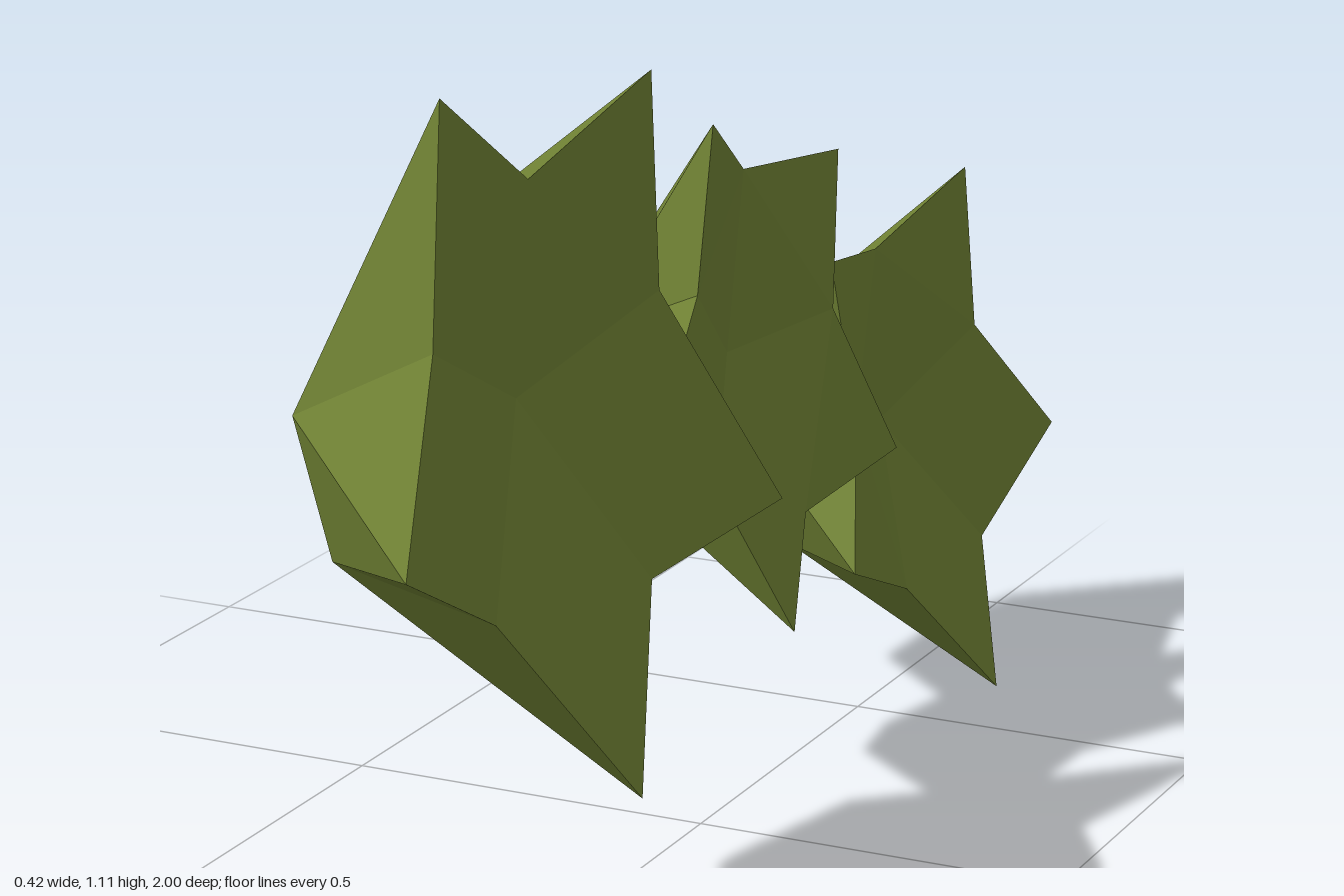
import * as THREE from 'three';

// Each star: five tips, five notches between them and a smaller rear pentagon, all [x, y, z],
// listed clockwise as seen from +x; centre is the bottom of the shallow dish.
const STARS = [
  {
    name: 'frontStar',
    centre: [0.01, 0.71, 0.52],
    tips: [[0.02, 1.11, 0.715], [0.03, 1.04, 0.2], [0.16, 0.49, 0.1], [0.21, 0.27, 0.595], [0.125, 0.64, 1]],
    notches: [[0, 0.96, 0.465], [0.045, 0.77, 0.21], [0.115, 0.46, 0.375], [0.105, 0.515, 0.755], [0.045, 0.835, 0.785]],
    rear: [[-0.21, 0.805, 0.475], [-0.18, 0.68, 0.315], [-0.14, 0.48, 0.423], [-0.155, 0.53, 0.67], [-0.19, 0.71, 0.695]],
  },
  {
    name: 'middleStar',
    centre: [-0.02, 0.6, -0.12],
    tips: [[0.01, 0.925, -0.015], [0, 0.805, -0.42], [0.095, 0.41, -0.405], [0.125, 0.275, -0.015], [0.045, 0.62, 0.19]],
    notches: [[-0.03, 0.825, -0.19], [0.03, 0.61, -0.34], [0.065, 0.38, -0.18], [0.045, 0.475, 0.05], [0.01, 0.715, 0.03]],
    rear: [[-0.19, 0.7, -0.19], [-0.165, 0.56, -0.26], [-0.13, 0.41, -0.17], [-0.14, 0.465, -0.02], [-0.18, 0.625, -0.04]],
  },
  {
    name: 'backStar',
    centre: [-0.02, 0.38, -0.61],
    tips: [[0, 0.655, -0.4], [0, 0.685, -0.855], [0.08, 0.285, -1], [0.14, 0, -0.66], [0.08, 0.26, -0.305]],
    notches: [[-0.03, 0.62, -0.615], [0.02, 0.46, -0.85], [0.065, 0.175, -0.78], [0.065, 0.175, -0.515], [0.02, 0.43, -0.44]],
    rear: [[-0.2, 0.485, -0.655], [-0.175, 0.385, -0.775], [-0.14, 0.205, -0.74], [-0.14, 0.195, -0.575], [-0.175, 0.37, -0.52]],
  },
];

function starGeometry({ centre, tips, notches, rear }) {
  const positions = [];
  const face = (...corners) => corners.forEach((p) => positions.push(...p));
  for (let i = 0; i < 5; i++) {
    const prev = (i + 4) % 5;
    // Dish and point on the open side
    face(centre, notches[i], notches[prev]);
    face(tips[i], notches[prev], notches[i]);
    // Flanks running back to the rear pentagon
    face(tips[i], notches[i], rear[i]);
    face(notches[prev], tips[i], rear[prev]);
    face(tips[i], rear[i], rear[prev]);
  }
  // Rear cap
  for (let i = 1; i < 4; i++) face(rear[0], rear[i], rear[i + 1]);

  const geometry = new THREE.BufferGeometry();
  geometry.setAttribute('position', new THREE.Float32BufferAttribute(positions, 3));
  geometry.computeVertexNormals();
  return geometry;
}

export function createModel() {
  const group = new THREE.Group();
  group.name = 'starCluster';
  const olive = new THREE.MeshStandardMaterial({ color: 0x6e8033, flatShading: true });
  olive.name = 'olive green';

  for (const star of STARS) {
    const mesh = new THREE.Mesh(starGeometry(star), olive);
    mesh.name = star.name;
    group.add(mesh);
  }
  return group;
}
